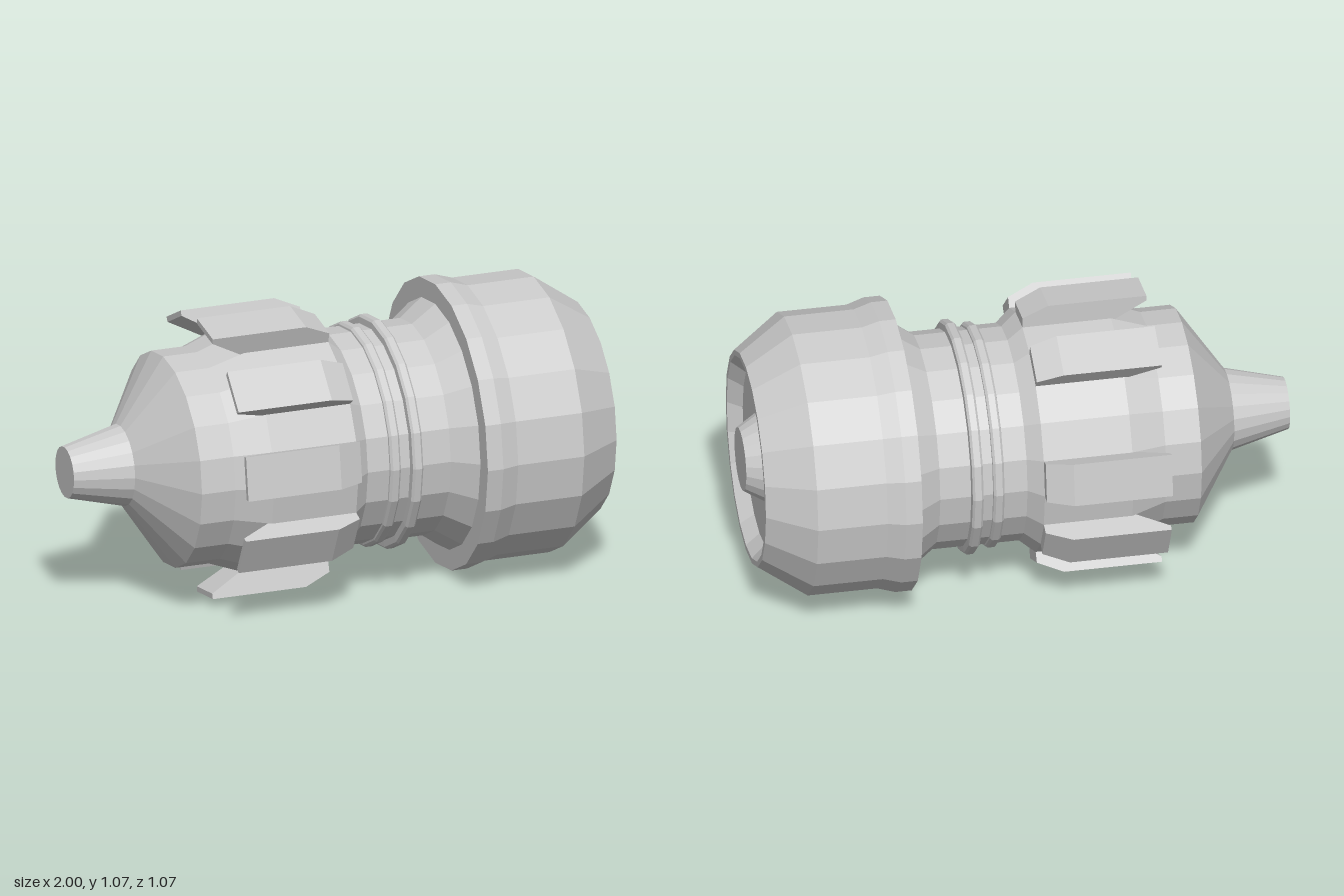
import * as THREE from 'three';

const SIDES = 20, STEP = (Math.PI * 2) / SIDES, AXIS_Y = 0.535;
const material = new THREE.MeshStandardMaterial({ color: 0xcccccc, flatShading: true });

// Turned part along x, from [x, radius] pairs running left to right
function turned(name, profile) {
  const points = profile.map(([x, r]) => new THREE.Vector2(r, x));
  const geometry = new THREE.LatheGeometry(points, SIDES);
  geometry.rotateZ(-Math.PI / 2);
  const mesh = new THREE.Mesh(geometry, material);
  mesh.name = name;
  return mesh;
}

// Raised grip pad: a side profile swept over one facet of the body
function gripFin(facet) {
  const shape = new THREE.Shape([
    [-0.49, 0.505], [-0.36, 0.43], [-0.035, 0.43],
    [-0.035, 0.482], [-0.13, 0.525], [-0.49, 0.525],
  ].map(([x, r]) => new THREE.Vector2(x, r)));
  const geometry = new THREE.ExtrudeGeometry(shape, { depth: 1, bevelEnabled: false });
  const p = geometry.attributes.position;
  for (let i = 0; i < p.count; i++) {
    const angle = (facet + 1 - p.getZ(i)) * STEP, r = p.getY(i);
    p.setXYZ(i, p.getX(i), r * Math.sin(angle), r * Math.cos(angle));
  }
  geometry.computeVertexNormals();
  const mesh = new THREE.Mesh(geometry, material);
  mesh.name = 'gripFin';
  return mesh;
}

export function createModel() {
  const model = new THREE.Group();
  model.name = 'cylindricalDevice';
  const axis = new THREE.Group();
  axis.name = 'turnedAssembly';
  axis.position.y = AXIS_Y;
  model.add(axis);

  // Tapered tip, shoulder cone, grip section and neck
  axis.add(turned('noseTip', [[-1, 0], [-1, 0.095], [-0.785, 0.15]]));
  axis.add(turned('body', [
    [-0.785, 0.15], [-0.62, 0.395], [-0.49, 0.395], [-0.36, 0.443],
    [-0.035, 0.443], [0.02, 0.395], [0.34, 0.395],
  ]));

  // Two thin rings on the neck
  for (const [x, r] of [[0.125, 0.41], [0.205, 0.427]]) {
    axis.add(turned('neckRing', [
      [x - 0.022, 0.39], [x - 0.02, r - 0.008], [x - 0.012, r],
      [x + 0.012, r], [x + 0.02, r - 0.008], [x + 0.022, 0.39],
    ]));
  }

  // Wide barrel with a lip and a recessed end face
  axis.add(turned('barrel', [
    [0.34, 0.395], [0.43, 0.46], [0.43, 0.535], [0.49, 0.535], [0.555, 0.515],
    [0.81, 0.515], [0.98, 0.395], [0.98, 0.375], [0.93, 0.33], [0.93, 0],
  ]));
  axis.add(turned('endKnob', [[0.93, 0.16], [1, 0.117], [1, 0]]));

  // Nine pads spread over the twenty facets
  for (const facet of [0, 2, 4, 6, 9, 11, 13, 15, 18]) axis.add(gripFin(facet));

  return model;
}
